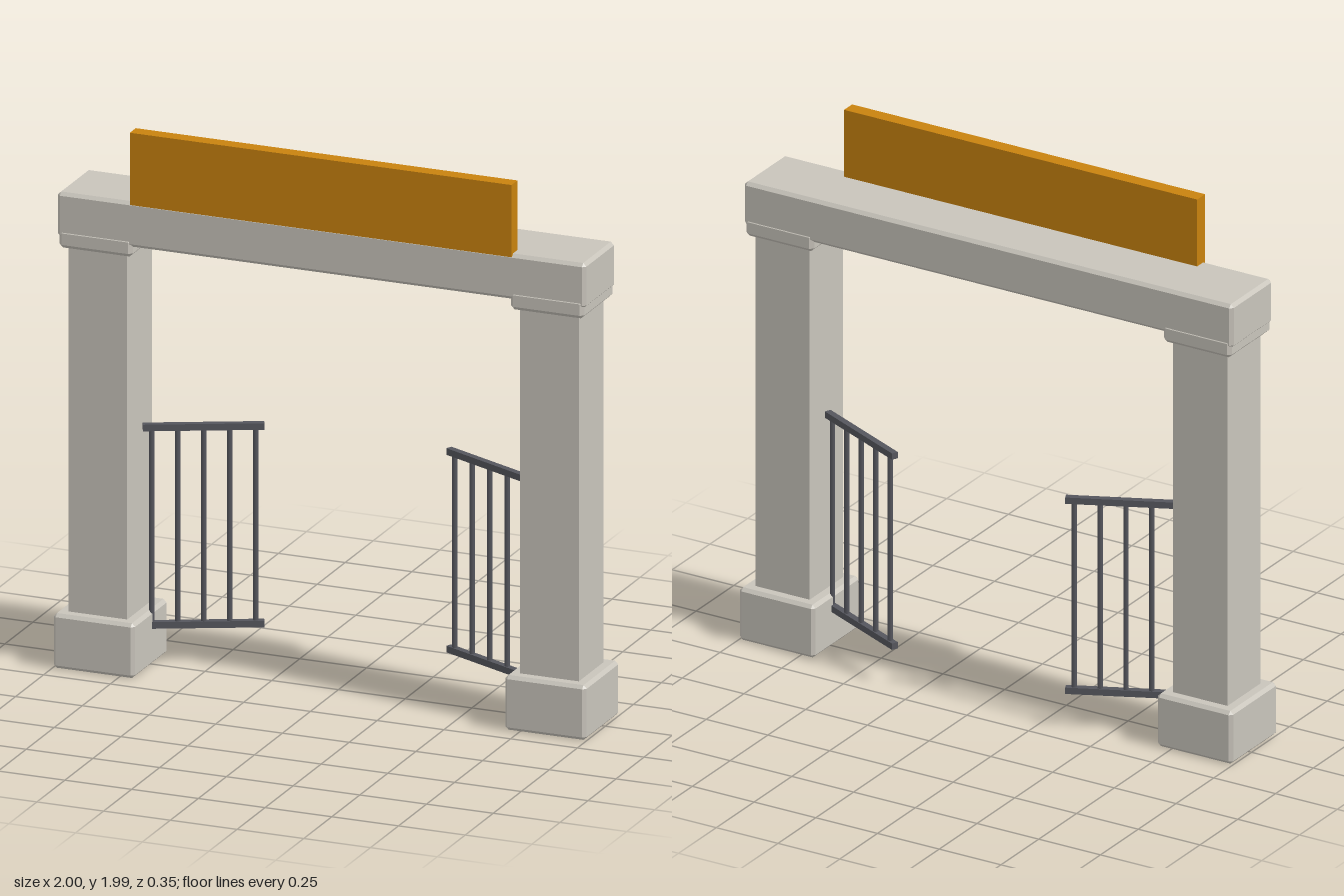
import * as THREE from 'three';
import { ConvexGeometry } from 'three/addons/geometries/ConvexGeometry.js';

const stone = new THREE.MeshStandardMaterial({ color: 0xc8c4bb });
stone.name = 'stone';
const orange = new THREE.MeshStandardMaterial({ color: 0xc8820e });
orange.name = 'orange board';
const iron = new THREE.MeshStandardMaterial({ color: 0x55565d });
iron.name = 'dark iron';

const MID_Z = 0.022; // centre line of the stonework

// Box with chamfered edges and corners
function chamferBox(w, h, d, b) {
  const pts = [];
  for (const sx of [-1, 1]) for (const sy of [-1, 1]) for (const sz of [-1, 1]) {
    for (const [ix, iy, iz] of [[0, b, b], [b, 0, b], [b, b, 0]]) {
      pts.push(new THREE.Vector3(sx * (w / 2 - ix), sy * (h / 2 - iy), sz * (d / 2 - iz)));
    }
  }
  return new ConvexGeometry(pts);
}

function add(parent, name, geometry, material, x, y, z) {
  const mesh = new THREE.Mesh(geometry, material);
  mesh.name = name;
  mesh.position.set(x, y, z);
  parent.add(mesh);
  return mesh;
}

// Stone pillar with plinth and capital
function pillar(side) {
  const g = new THREE.Group();
  g.name = side > 0 ? 'leftPillar' : 'rightPillar';
  add(g, 'plinth', chamferBox(0.305, 0.2, 0.305, 0.012), stone, 0, 0.1, 0);
  add(g, 'shaft', new THREE.BoxGeometry(0.22, 1.36, 0.22), stone, 0, 0.87, 0);
  add(g, 'capital', chamferBox(0.275, 0.068, 0.275, 0.013), stone, 0, 1.567, 0);
  g.position.set(side * 0.846, 0, MID_Z);
  return g;
}

// Open gate leaf, swung back
function gate(side) {
  const g = new THREE.Group();
  g.name = side > 0 ? 'leftGate' : 'rightGate';
  for (const [name, y] of [['topRail', 0.868], ['bottomRail', 0.146]]) {
    add(g, name, new THREE.BoxGeometry(0.42, 0.024, 0.024), iron, 0, y, 0);
  }
  for (let i = -2; i <= 2; i++) {
    add(g, 'bar', new THREE.CylinderGeometry(0.0095, 0.0095, 0.71, 8), iron, i * 0.09, 0.507, 0);
  }
  g.position.set(side * 0.536, 0, -0.073);
  g.rotation.y = -side * THREE.MathUtils.degToRad(25);
  return g;
}

export function createModel() {
  const model = new THREE.Group();
  model.name = 'gateway';
  for (const side of [-1, 1]) model.add(pillar(side), gate(side));

  // Lintel across both pillars
  add(model, 'lintel', chamferBox(1.98, 0.166, 0.27, 0.012), stone, 0, 1.653, MID_Z);

  // Board standing on the front edge of the lintel
  add(model, 'signBoard', new THREE.BoxGeometry(1.43, 0.264, 0.053), orange, 0, 1.858, 0.132);
  return model;
}
